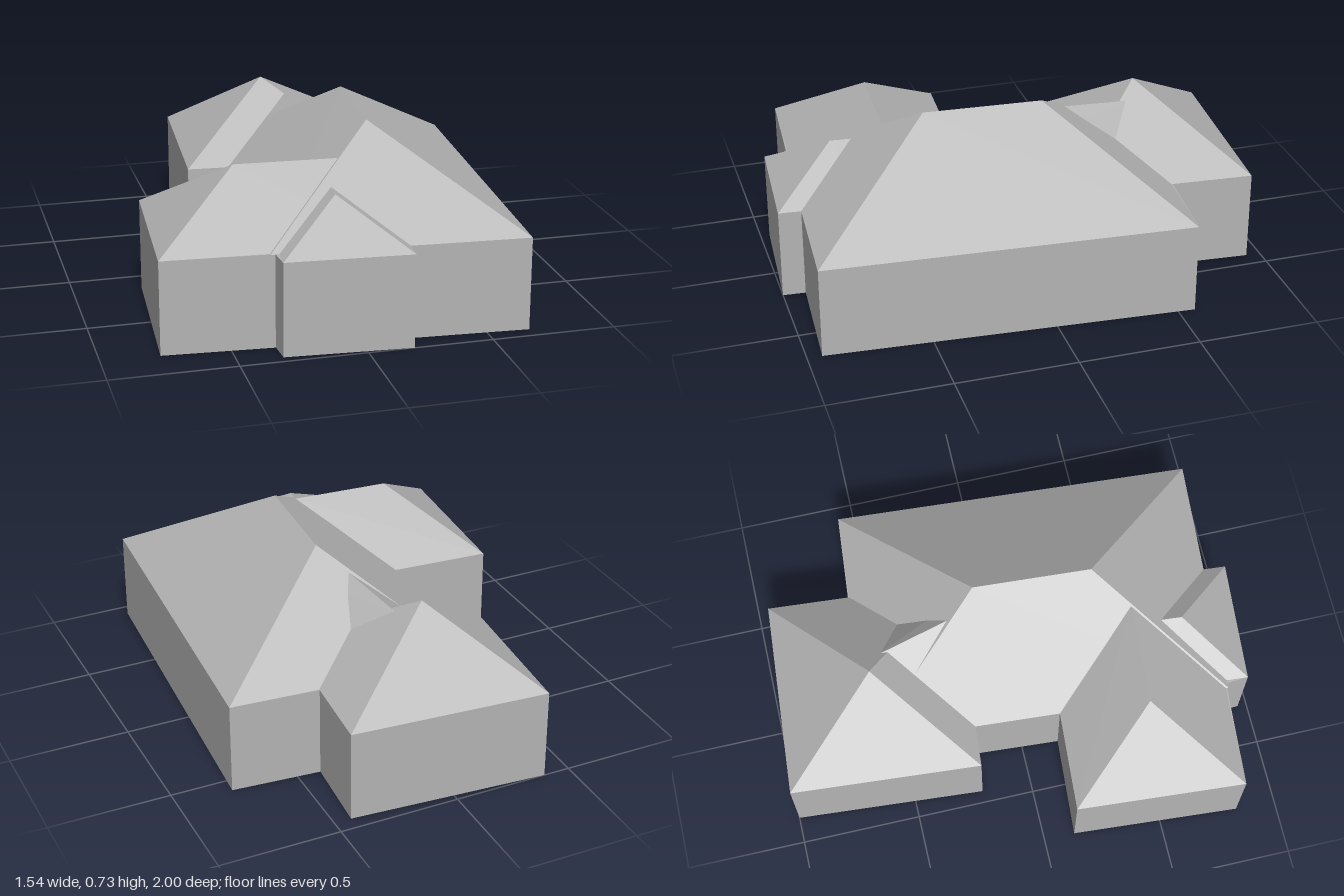
import * as THREE from 'three';
import { ConvexGeometry } from 'three/addons/geometries/ConvexGeometry.js';

const BASE = 0.012, EAVE = 0.393;

export function createModel() {
  const house = new THREE.Group();
  house.name = 'house';
  const grey = new THREE.MeshStandardMaterial({ color: 0xb4b4b4 });
  grey.name = 'plain grey';

  const add = (name, geometry) => {
    const mesh = new THREE.Mesh(geometry, grey);
    mesh.name = name;
    house.add(mesh);
  };

  // Walls: one footprint, slightly turned, as [x, z] corners
  const footprint = [
    [-0.39, -1], [0.43, -0.94], [0.404, -0.6], [0.77, -0.57], [0.67, 0.94],
    [0.19, 0.907], [0.183, 1], [-0.323, 0.962], [-0.33, 0.866], [-0.77, 0.832],
    [-0.72, 0.13], [-0.303, 0.157], [-0.279, -0.198], [-0.45, -0.21],
  ];
  const outline = new THREE.Shape(footprint.map(([x, z]) => new THREE.Vector2(x, -z)));
  const walls = new THREE.ExtrudeGeometry(outline, { depth: EAVE - BASE, bevelEnabled: false });
  walls.rotateX(-Math.PI / 2).translate(0, BASE, 0);
  add('walls', walls);

  // Roof solids: eave corners [x, z] plus raised points [x, y, z]
  const addRoof = (name, eaves, raised) => add(name, new ConvexGeometry([
    ...eaves.map(([x, z]) => new THREE.Vector3(x, EAVE, z)),
    ...raised.map((p) => new THREE.Vector3(...p)),
  ]));

  addRoof('mainRoof',
    [[0.77, -0.57], [0.67, 0.94], [-0.35, 0.87], [-0.25, -0.64]],
    [[0.16, 0.745, 0.39], [0.19, 0.745, -0.1]]);

  addRoof('sideWingRoof',
    [[-0.77, 0.832], [-0.72, 0.13], [0.2, 0.19], [0.15, 0.89]],
    [[-0.41, 0.638, 0.5], [0.01, 0.638, 0.525]]);

  addRoof('backWingRoof',
    [[-0.39, -1], [0.43, -0.94], [0.37, -0.15], [-0.45, -0.21]],
    [[-0.045, 0.675, -0.58]]);

  addRoof('porchRoof',
    [[-0.323, 0.962], [0.183, 1], [0.21, 0.65], [-0.3, 0.61]],
    [[-0.06, 0.562, 0.73], [-0.05, 0.562, 0.6]]);

  // Low ridge joining the main roof to the back wing
  addRoof('linkRoof',
    [[-0.279, -0.2], [-0.253, -0.6], [0.19, -0.5], [0.22, -0.12]],
    [[0.04, 0.615, -0.53], [0.11, 0.665, -0.2], [0.19, 0.49, -0.5], [0.22, 0.6, -0.14]]);

  return house;
}
